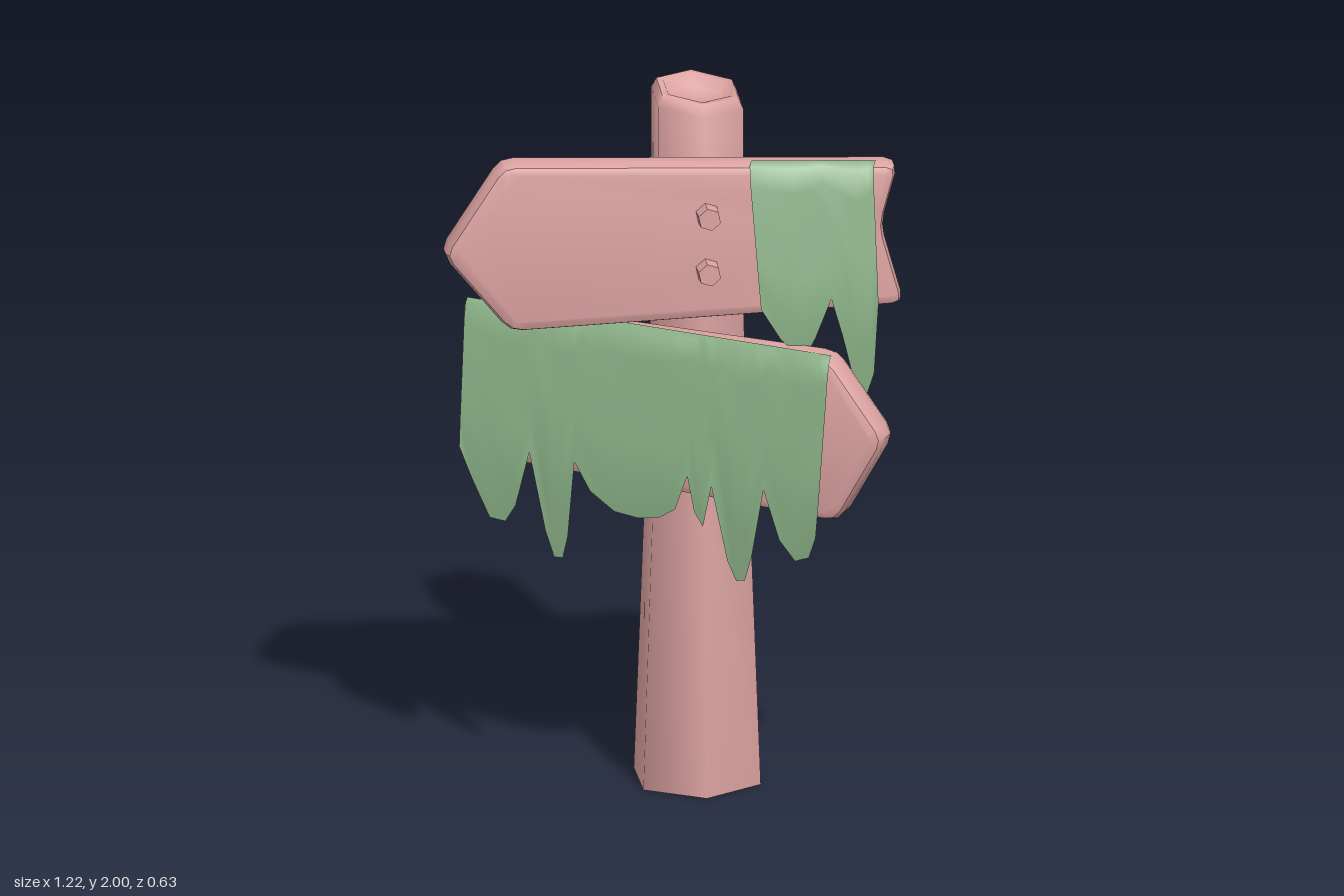
import * as THREE from 'three';
import { toCreasedNormals } from 'three/addons/utils/BufferGeometryUtils.js';

const wood = new THREE.MeshStandardMaterial({ color: 0xdca3a1 });
wood.name = 'wood';
const moss = new THREE.MeshStandardMaterial({ color: 0x86ac82, side: THREE.DoubleSide });
moss.name = 'moss';

function mesh(name, geometry, material) {
  const m = new THREE.Mesh(geometry, material);
  m.name = name;
  return m;
}

// Tapered six-sided post with a hollowed, slanted top
function makePost() {
  const profile = [
    [0, 0], [0.186, 0], [0.152, 0.85], [0.136, 1.35], [0.135, 1.955],
    [0.12, 1.985], [0.1, 1.985], [0.078, 1.955], [0, 1.955],
  ].map(([r, y]) => new THREE.Vector2(r, y));
  const g = new THREE.LatheGeometry(profile, 6, THREE.MathUtils.degToRad(20.5));
  const p = g.attributes.position;
  for (let i = 0; i < p.count; i++) {
    if (p.getY(i) > 1.9) p.setY(i, p.getY(i) - 0.1 * p.getX(i) - 0.05 * p.getZ(i));
  }
  const post = mesh('post', toCreasedNormals(g, 1.2), wood);
  post.position.set(0.017, 0, -0.133);
  return post;
}

// Arrow board: outline with softened corners, extruded with a bevel
function makeBoard(name, outline, angle) {
  const pts = outline.map(([x, y]) => new THREE.Vector2(x / Math.cos(angle), y));
  const shape = new THREE.Shape();
  pts.forEach((p, i) => {
    const prev = pts[(i + pts.length - 1) % pts.length];
    const next = pts[(i + 1) % pts.length];
    const a = p.clone().add(prev.clone().sub(p).setLength(0.035));
    const b = p.clone().add(next.clone().sub(p).setLength(0.035));
    if (i === 0) shape.moveTo(a.x, a.y);
    else shape.lineTo(a.x, a.y);
    shape.quadraticCurveTo(p.x, p.y, b.x, b.y);
  });
  shape.closePath();
  const g = new THREE.ExtrudeGeometry(shape, {
    depth: 0.045, bevelSize: 0.028, bevelThickness: 0.03, bevelOffset: -0.028,
    bevelSegments: 2, curveSegments: 2,
  });
  g.translate(0, 0, -0.0225);
  return mesh(name, toCreasedNormals(g, 0.6), wood);
}

// How far the moss stands out from the board centre, by distance below its top
const bulge = [[0, 0.025], [0.012, 0.06], [0.1, 0.078], [0.38, 0.14], [0.7, 0.132]];
function standOff(drop) {
  for (let i = 1; i < bulge.length; i++) {
    const [d0, w0] = bulge[i - 1], [d1, w1] = bulge[i];
    if (drop <= d1) return w0 + (w1 - w0) * (drop - d0) / (d1 - d0);
  }
  return bulge[bulge.length - 1][1];
}

// Moss sheet hanging from a straight top edge down to a dripping hem
function makeMoss(name, left, right, hem, angle) {
  const rows = [0, 0.022, 0.15, 0.35, 0.6, 0.8, 1];
  const n = hem.length, x0 = hem[0][0], x1 = hem[n - 1][0];
  const pos = [], index = [];
  rows.forEach((t, r) => {
    hem.forEach(([hx, hy], c) => {
      const k = (hx - x0) / (x1 - x0);
      const tx = left[0] + (right[0] - left[0]) * k;
      const ty = left[1] + (right[1] - left[1]) * k;
      const x = tx + (hx - tx) * t, y = ty + (hy - ty) * t;
      const w = standOff(ty - y);
      pos.push((x - w * Math.sin(angle)) / Math.cos(angle), y, w);
      if (r > 0 && c > 0) {
        const d = r * n + c, b = d - 1, u = d - n, a = u - 1;
        index.push(a, b, d, a, d, u);
      }
    });
  });
  const g = new THREE.BufferGeometry();
  g.setAttribute('position', new THREE.Float32BufferAttribute(pos, 3));
  g.setIndex(index);
  g.computeVertexNormals();
  return mesh(name, g, moss);
}

function makeSign(name, angle, z, parts) {
  const sign = new THREE.Group();
  sign.name = name;
  sign.rotation.y = angle;
  sign.position.z = z;
  sign.add(...parts);
  return sign;
}

export function createModel() {
  const model = new THREE.Group();
  model.name = 'signpost';
  model.add(makePost());

  // Upper sign, pointing to the model's right
  const upAngle = THREE.MathUtils.degToRad(20.2);
  const upBoard = makeBoard('upperBoard', [
    [-0.605, 1.61], [-0.43, 1.38], [0.585, 1.41], [0.525, 1.64], [0.57, 1.815], [-0.45, 1.865],
  ], upAngle);
  const upMoss = makeMoss('upperMoss', [0.2, 1.84], [0.52, 1.825], [
    [0.25, 1.45], [0.3, 1.36], [0.36, 1.3], [0.39, 1.36], [0.43, 1.47], [0.46, 1.36],
    [0.49, 1.22], [0.515, 1.17], [0.54, 1.25], [0.552, 1.45],
  ], upAngle);
  // Six-sided bolts through the upper board
  const bolts = [1.7, 1.54].map((y) => {
    const g = new THREE.CylinderGeometry(0.032, 0.038, 0.185, 6);
    g.rotateX(Math.PI / 2);
    const bolt = mesh('bolt', toCreasedNormals(g, 0.6), wood);
    bolt.position.set(0.08, y, 0.005);
    bolt.rotation.z = 0.2;
    return bolt;
  });
  model.add(makeSign('upperSign', upAngle, 0.063, [upBoard, upMoss, ...bolts]));

  // Lower sign, pointing to the model's left
  const lowAngle = THREE.MathUtils.degToRad(-9.2);
  const lowBoard = makeBoard('lowerBoard', [
    [-0.615, 1.35], [-0.575, 1.17], [-0.61, 0.925], [0.475, 0.865], [0.615, 1.12], [0.45, 1.34],
  ], lowAngle);
  const lowMoss = makeMoss('lowerMoss', [-0.6, 1.37], [0.45, 1.34], [
    [-0.597, 0.98], [-0.56, 0.89], [-0.51, 0.785], [-0.465, 0.78], [-0.435, 0.83], [-0.395, 0.99],
    [-0.35, 0.77], [-0.325, 0.695], [-0.3, 0.695], [-0.285, 0.76], [-0.265, 0.98], [-0.22, 0.9],
    [-0.15, 0.85], [-0.08, 0.84], [-0.02, 0.85], [0.025, 0.88], [0.06, 0.98], [0.08, 0.88],
    [0.105, 0.84], [0.13, 0.96], [0.175, 0.75], [0.2, 0.695], [0.225, 0.7], [0.245, 0.77],
    [0.28, 0.97], [0.325, 0.83], [0.37, 0.775], [0.41, 0.79], [0.43, 0.85], [0.44, 0.97],
  ], lowAngle);
  model.add(makeSign('lowerSign', lowAngle, 0.042, [lowBoard, lowMoss]));

  return model;
}
